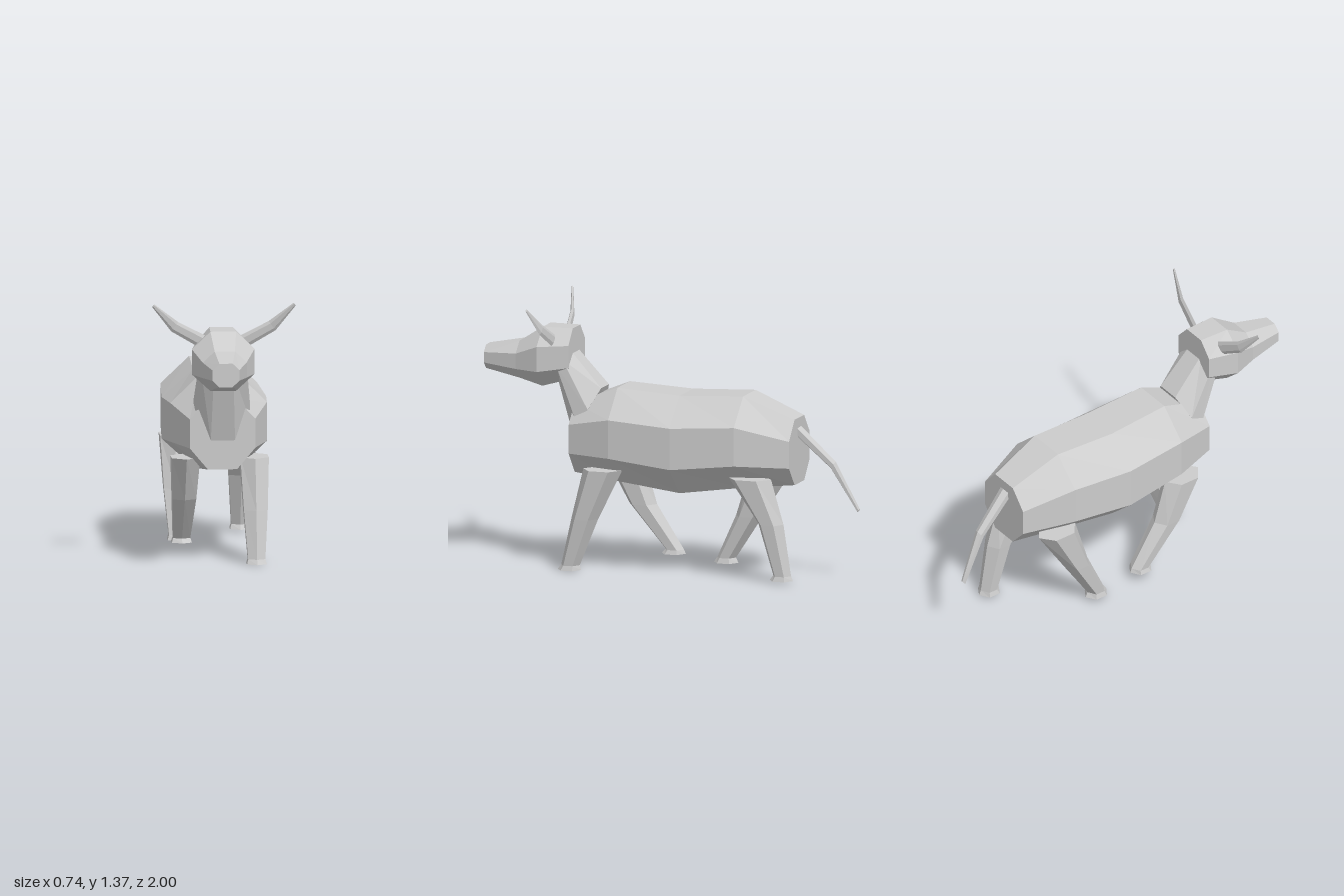
import * as THREE from 'three';

const V = (x, y, z) => new THREE.Vector3(x, y, z);

// Closed skin over a series of equal-sized rings, wound outward
function loft(name, rings, material) {
  const n = rings[0].length, tris = [];
  for (let r = 0; r < rings.length - 1; r++) {
    for (let i = 0; i < n; i++) {
      const j = (i + 1) % n;
      const a = rings[r][i], b = rings[r][j], c = rings[r + 1][j], d = rings[r + 1][i];
      tris.push([a, b, c], [a, c, d]);
    }
  }
  const first = rings[0], last = rings[rings.length - 1];
  for (let i = 1; i < n - 1; i++) {
    tris.push([first[0], first[i + 1], first[i]], [last[0], last[i], last[i + 1]]);
  }
  // signed volume tells whether the skin is inside out
  const volume = tris.reduce((s, [a, b, c]) => s + a.dot(b.clone().cross(c)), 0);
  const points = tris.flatMap(([a, b, c]) => (volume < 0 ? [a, c, b] : [a, b, c]));
  const geometry = new THREE.BufferGeometry().setFromPoints(points);
  geometry.computeVertexNormals();
  const mesh = new THREE.Mesh(geometry, material);
  mesh.name = name;
  return mesh;
}

// Eight-sided section: half width, half width of the flats, and four [y, z] levels
function ring8(cx, hw, flat, [top, up, low, bottom]) {
  const half = [[flat, top], [hw, up], [hw, low], [flat, bottom]];
  const right = half.map(([x, p]) => V(cx + x, p[0], p[1]));
  const left = half.map(([x, p]) => V(cx - x, p[0], p[1])).reverse();
  return [...right, ...left];
}

// Upright eight-sided section at one z
const slice = (z, cx, hw, flat, ys) => ring8(cx, hw, flat, ys.map((y) => [y, z]));

// Six-sided section around a centre with two half axes
function ring6(center, u, v) {
  return Array.from({ length: 6 }, (_, i) => {
    const a = (i * Math.PI) / 3;
    return center.clone().addScaledVector(u, Math.sin(a) / 0.866).addScaledVector(v, Math.cos(a));
  });
}

export function createModel() {
  const model = new THREE.Group();
  model.name = 'hornedAnimal';
  const grey = new THREE.MeshStandardMaterial({ color: 0xcccccc });
  grey.name = 'grey';
  const add = (name, rings) => model.add(loft(name, rings, grey));

  // Barrel body
  add('body', [
    slice(0.5, 0.005, 0.168, 0.075, [0.85, 0.75, 0.6, 0.49]),
    slice(0.26, 0.003, 0.248, 0.1, [0.945, 0.8, 0.6, 0.46]),
    slice(-0.08, 0.004, 0.268, 0.108, [0.925, 0.78, 0.565, 0.418]),
    slice(-0.42, 0.003, 0.248, 0.1, [0.94, 0.8, 0.6, 0.465]),
    slice(-0.69, 0.003, 0.163, 0.075, [0.83, 0.73, 0.59, 0.49]),
  ]);

  // Neck
  add('neck', [
    ring8(0.007, 0.145, 0.062, [[0.93, 0.36], [0.83, 0.405], [0.73, 0.455], [0.64, 0.5]]),
    ring8(0.003, 0.118, 0.05, [[1.12, 0.535], [1.08, 0.555], [1.04, 0.585], [1.0, 0.61]]),
  ]);

  // Head tapering to the muzzle
  add('head', [
    slice(0.518, -0.004, 0.13, 0.06, [1.23, 1.15, 1.035, 0.97]),
    slice(0.68, -0.005, 0.161, 0.066, [1.23, 1.14, 1.01, 0.923]),
    slice(0.81, -0.007, 0.113, 0.052, [1.147, 1.09, 1.01, 0.955]),
    slice(1.0, -0.015, 0.069, 0.034, [1.112, 1.078, 1.024, 0.99]),
  ]);

  // Horns
  for (const [side, s] of [['left', 1], ['right', -1]]) {
    const horn = [
      [0.1, 1.165, 0.603, 0.035, 0.009],
      [0.25, 1.25, 0.625, 0.03, 0.008],
      [0.363, 1.366, 0.664, 0.009, 0.004],
    ];
    add(side + 'Horn', horn.map(([x, y, z, w, t]) =>
      ring6(V(s * x, y, z), V(0, 0, t), V(-s * w * 0.6, w * 0.8, 0))));
  }

  // Tail
  const tail = [
    [0, 0.765, -0.68, 0.032, 0.028],
    [-0.023, 0.588, -0.865, 0.024, 0.022],
    [-0.053, 0.352, -0.992, 0.013, 0.01],
  ];
  add('tail', tail.map(([x, y, z, w, t]) =>
    ring6(V(x, y, z), V(w, 0, 0), V(0, t * 0.75, -t * 0.65))));

  // Legs: rows of y, z, half depth from hip to hoof
  const halfWidths = [0.073, 0.061, 0.044, 0.051];
  const legs = {
    leftFrontLeg: [0.18, [[0.53, 0.313, 0.105], [0.27, 0.41, 0.072], [0.025, 0.487, 0.05], [0, 0.493, 0.063]]],
    rightFrontLeg: [-0.172, [[0.53, 0.313, 0.105], [0.3, 0.215, 0.075], [0.072, 0.044, 0.05], [0.05, 0.05, 0.065]]],
    leftHindLeg: [0.18, [[0.53, -0.483, 0.115], [0.3, -0.597, 0.068], [0.035, -0.658, 0.048], [0.01, -0.654, 0.063]]],
    rightHindLeg: [-0.172, [[0.53, -0.483, 0.115], [0.27, -0.36, 0.072], [0.047, -0.237, 0.05], [0.02, -0.234, 0.066]]],
  };
  for (const [name, [x, rows]] of Object.entries(legs)) {
    add(name, rows.map(([y, z, d], i) => ring6(V(x, y, z), V(halfWidths[i], 0, 0), V(0, 0, d))));
  }

  return model;
}
